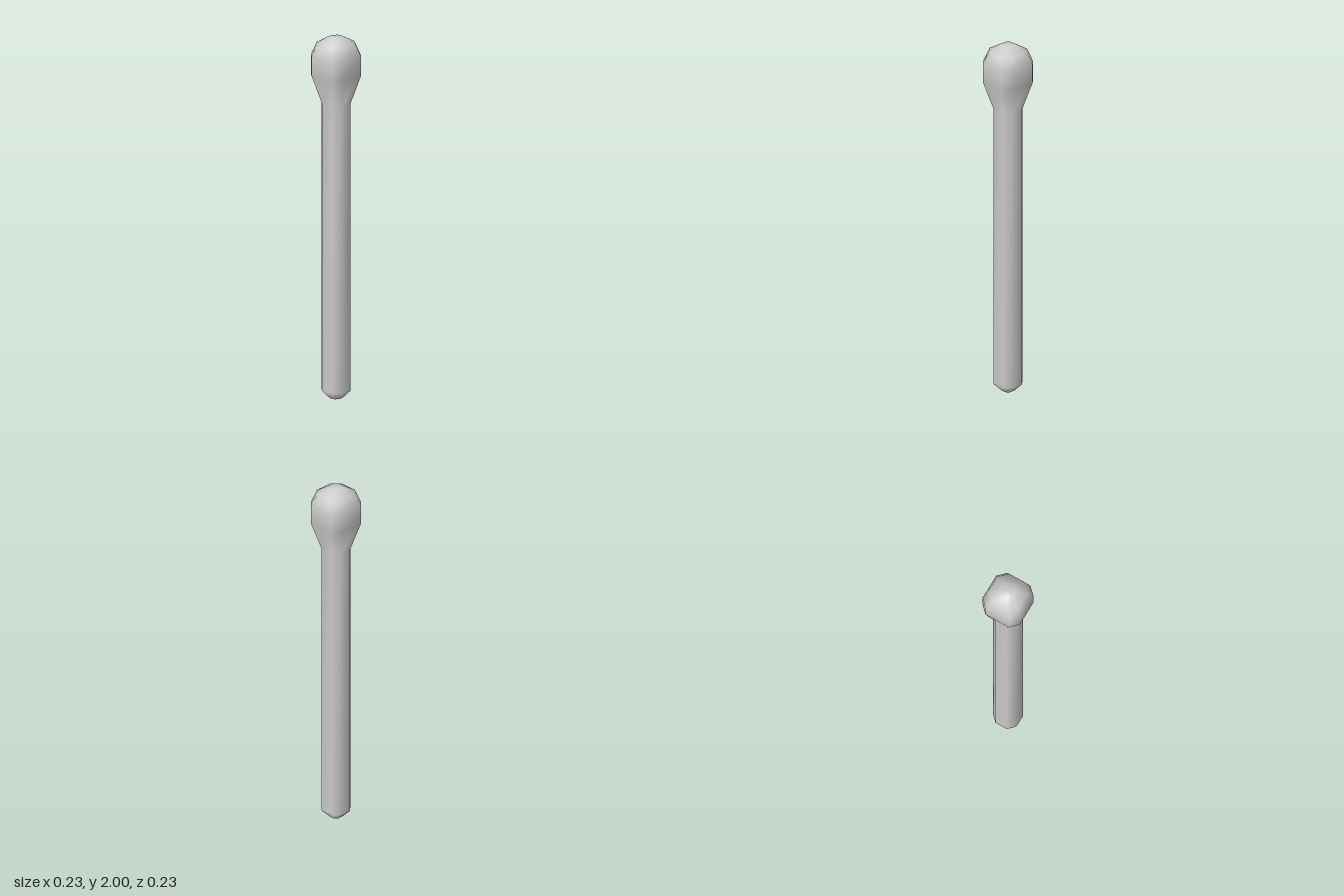
import * as THREE from 'three';

// Rings from bottom to top: [height, half width, half length of the flat sides]
const rings = [
  [0, 0.03, 0.017],
  [0.045, 0.073, 0.035],
  [1.635, 0.073, 0.035],
  [1.79, 0.115, 0.073],
  [1.895, 0.115, 0.073],
  [1.965, 0.095, 0.048],
  [2, 0.037, 0.02],
];

// Eight corners of a square with cut corners
const octagon = (y, w, c) =>
  [[w, c], [c, w], [-c, w], [-w, c], [-w, -c], [-c, -w], [c, -w], [w, -c]].flatMap(([x, z]) => [x, y, z]);

// Skins the rings into one closed smooth surface
function loft(sections) {
  const n = 8;
  const positions = sections.flatMap(([y, w, c]) => octagon(y, w, c));
  const bottom = sections.length * n;
  const top = bottom + 1;
  positions.push(0, sections[0][0], 0, 0, sections.at(-1)[0], 0);
  const index = [];
  for (let j = 0; j < n; j++) {
    const k = (j + 1) % n;
    for (let i = 0; i < sections.length - 1; i++) {
      const a = i * n + j, b = i * n + k;
      index.push(a, a + n, b, b, a + n, b + n);
    }
    // End caps
    const last = (sections.length - 1) * n;
    index.push(bottom, j, k, top, last + k, last + j);
  }
  const geometry = new THREE.BufferGeometry();
  geometry.setAttribute('position', new THREE.Float32BufferAttribute(positions, 3));
  geometry.setIndex(index);
  geometry.computeVertexNormals();
  return geometry;
}

export function createModel() {
  const group = new THREE.Group();
  group.name = 'cottonSwab';
  // Straight stick flowing into the rounded head
  const swab = new THREE.Mesh(loft(rings), new THREE.MeshStandardMaterial({ color: 0xcccccc }));
  swab.name = 'stickWithHead';
  group.add(swab);
  return group;
}
